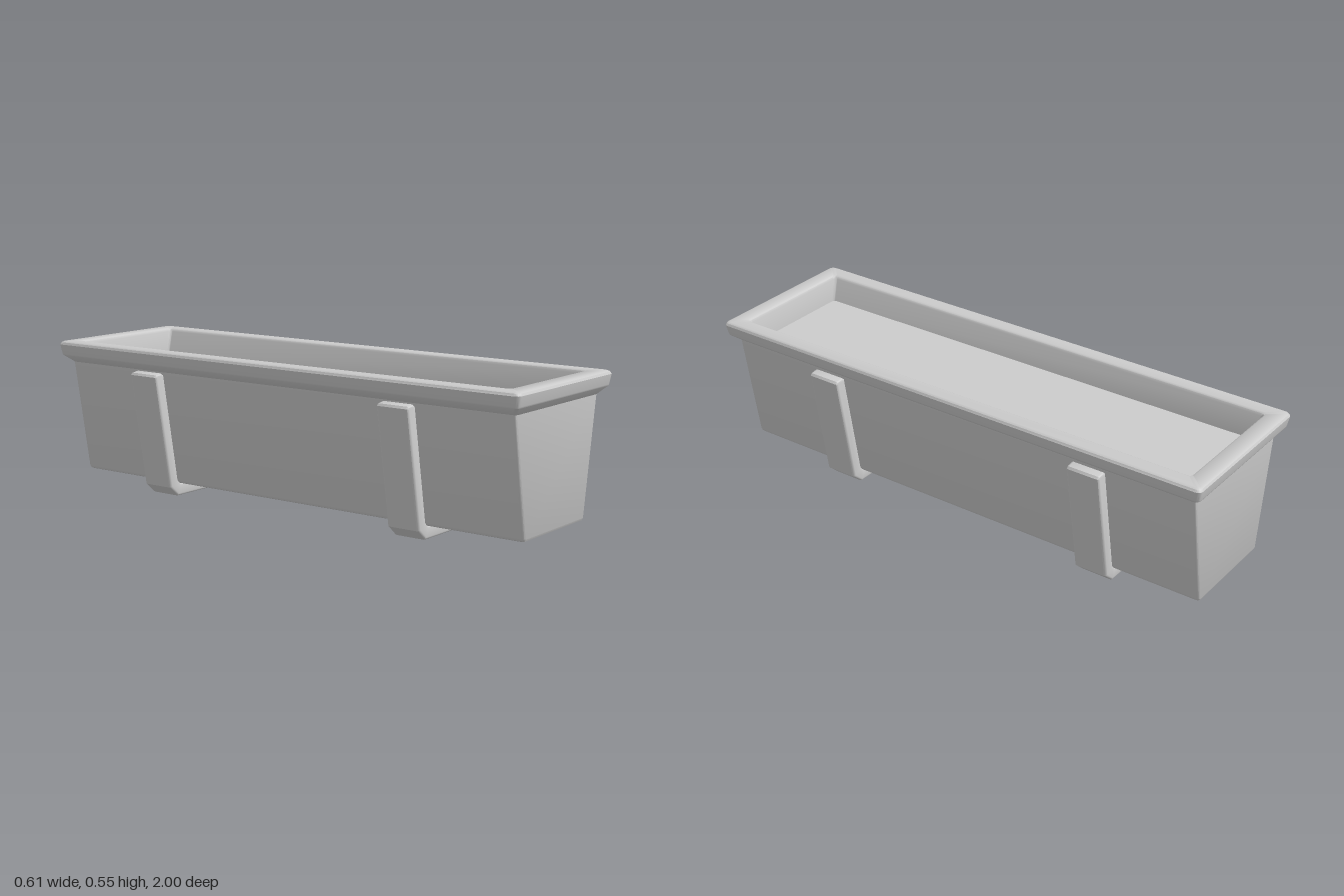
import * as THREE from 'three';
import { toCreasedNormals } from 'three/addons/utils/BufferGeometryUtils.js';

const CORNER_STEPS = 4;

// Rounded rectangle cross-section at height y
function ring([y, hx, hz, r]) {
  const points = [];
  for (const [sx, sz, start] of [[1, 1, 0], [-1, 1, 1], [-1, -1, 2], [1, -1, 3]]) {
    for (let i = 0; i <= CORNER_STEPS; i++) {
      const t = (start + i / CORNER_STEPS) * Math.PI / 2;
      points.push(sx * (hx - r) + r * Math.cos(t), y, sz * (hz - r) + r * Math.sin(t));
    }
  }
  return points;
}

// Skin over the cross-sections, closed at both ends
function loft(sections) {
  const n = 4 * (CORNER_STEPS + 1);
  const last = (sections.length - 1) * n;
  const positions = sections.flatMap(ring);
  const startCentre = positions.length / 3, endCentre = startCentre + 1;
  positions.push(0, sections[0][0], 0, 0, sections.at(-1)[0], 0);
  const index = [];
  for (let i = 0; i < n; i++) {
    const j = (i + 1) % n;
    index.push(startCentre, i, j, last + i, endCentre, last + j);
    for (let a = 0; a < last; a += n) {
      index.push(a + i, a + n + i, a + j, a + n + i, a + n + j, a + j);
    }
  }
  const geometry = new THREE.BufferGeometry();
  geometry.setAttribute('position', new THREE.Float32BufferAttribute(positions, 3));
  geometry.setIndex(index);
  return toCreasedNormals(geometry, 0.6);
}

// U-shaped strap that wraps under the trough
function strapGeometry(width) {
  const half = [
    [0.193, 0], [0.235, 0.037], [0.306, 0.453], [0.300, 0.461],
    [0.272, 0.465], [0.261, 0.457], [0.193, 0.06], [0.178, 0.047],
  ];
  const mirrored = half.map(([x, y]) => [-x, y]).reverse();
  const shape = new THREE.Shape([...half, ...mirrored].map(([x, y]) => new THREE.Vector2(x, y)));
  const bevel = 0.009;
  const geometry = new THREE.ExtrudeGeometry(shape, {
    depth: width - 2 * bevel, bevelEnabled: true, bevelSize: bevel,
    bevelThickness: bevel, bevelOffset: -bevel, bevelSegments: 3,
  });
  geometry.translate(0, 0, bevel - width / 2);
  return toCreasedNormals(geometry, 0.6);
}

export function createModel() {
  const group = new THREE.Group();
  const material = new THREE.MeshStandardMaterial({ color: 0xcccccc });
  const add = (name, geometry, z = 0) => {
    const mesh = new THREE.Mesh(geometry, material);
    mesh.name = name;
    mesh.position.z = z;
    group.add(mesh);
  };

  // Trough: underside, tapered walls, flared rim, then down inside to the fill
  add('trough', loft([
    [0.047, 0.183, 0.955, 0.008],
    [0.050, 0.190, 0.962, 0.011],
    [0.058, 0.194, 0.966, 0.012],
    [0.468, 0.262, 0.966, 0.012],
    [0.495, 0.297, 0.992, 0.014],
    [0.500, 0.299, 0.994, 0.016],
    [0.535, 0.306, 1.000, 0.018],
    [0.543, 0.302, 0.996, 0.018],
    [0.547, 0.294, 0.988, 0.016],
    [0.547, 0.250, 0.938, 0.012],
    [0.543, 0.243, 0.932, 0.012],
    [0.535, 0.239, 0.929, 0.012],
    [0.450, 0.221, 0.925, 0.012],
  ]));

  // Two support straps
  const strap = strapGeometry(0.127);
  add('frontStrap', strap, 0.527);
  add('backStrap', strap, -0.569);

  return group;
}
